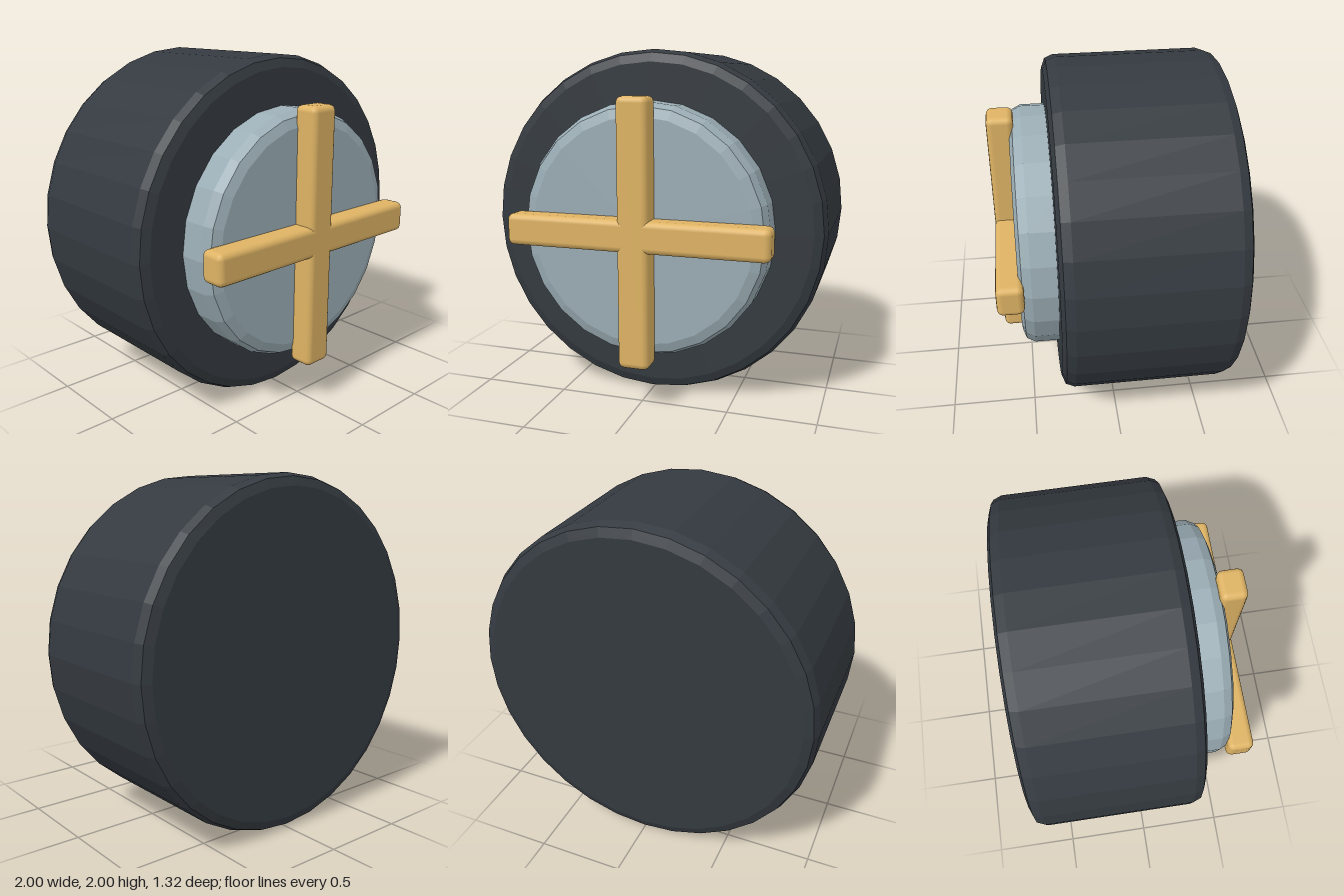
import * as THREE from 'three';
import { RoundedBoxGeometry } from 'three/addons/geometries/RoundedBoxGeometry.js';

function material(color, flatShading = false) {
  return new THREE.MeshStandardMaterial({ color, flatShading });
}

// Faceted round part turned about the z axis; profile points are [radius, z], back to front.
function turned(name, profile, sides, color) {
  const points = profile.map(([r, z]) => new THREE.Vector2(r, z));
  const geometry = new THREE.LatheGeometry(points, sides).rotateX(Math.PI / 2);
  const mesh = new THREE.Mesh(geometry, material(color, true));
  mesh.name = name;
  mesh.position.y = 1;
  return mesh;
}

export function createModel() {
  const model = new THREE.Group();
  model.name = 'valveKnob';

  // Dark drum with softened rims
  model.add(turned('drum', [
    [0, -0.66], [0.93, -0.66], [0.98, -0.64], [1, -0.59],
    [1, 0.26], [0.98, 0.31], [0.93, 0.33], [0, 0.33],
  ], 32, 0x343a40));

  // Raised grey disc on the front
  model.add(turned('frontDisc', [
    [0.72, 0.3], [0.72, 0.47], [0.695, 0.52], [0.64, 0.54], [0, 0.54],
  ], 24, 0x9badb5));

  // Two crossed bars with rounded edges
  const cross = new THREE.Group();
  cross.name = 'cross';
  cross.position.set(0, 1, 0.587);
  for (const [name, angle] of [['horizontalBar', 0], ['verticalBar', Math.PI / 2]]) {
    const bar = new THREE.Mesh(
      new RoundedBoxGeometry(1.5, 0.18, 0.15, 2, 0.035), material(0xdeb364));
    bar.name = name;
    bar.rotation.z = angle;
    cross.add(bar);
  }
  model.add(cross);
  return model;
}
